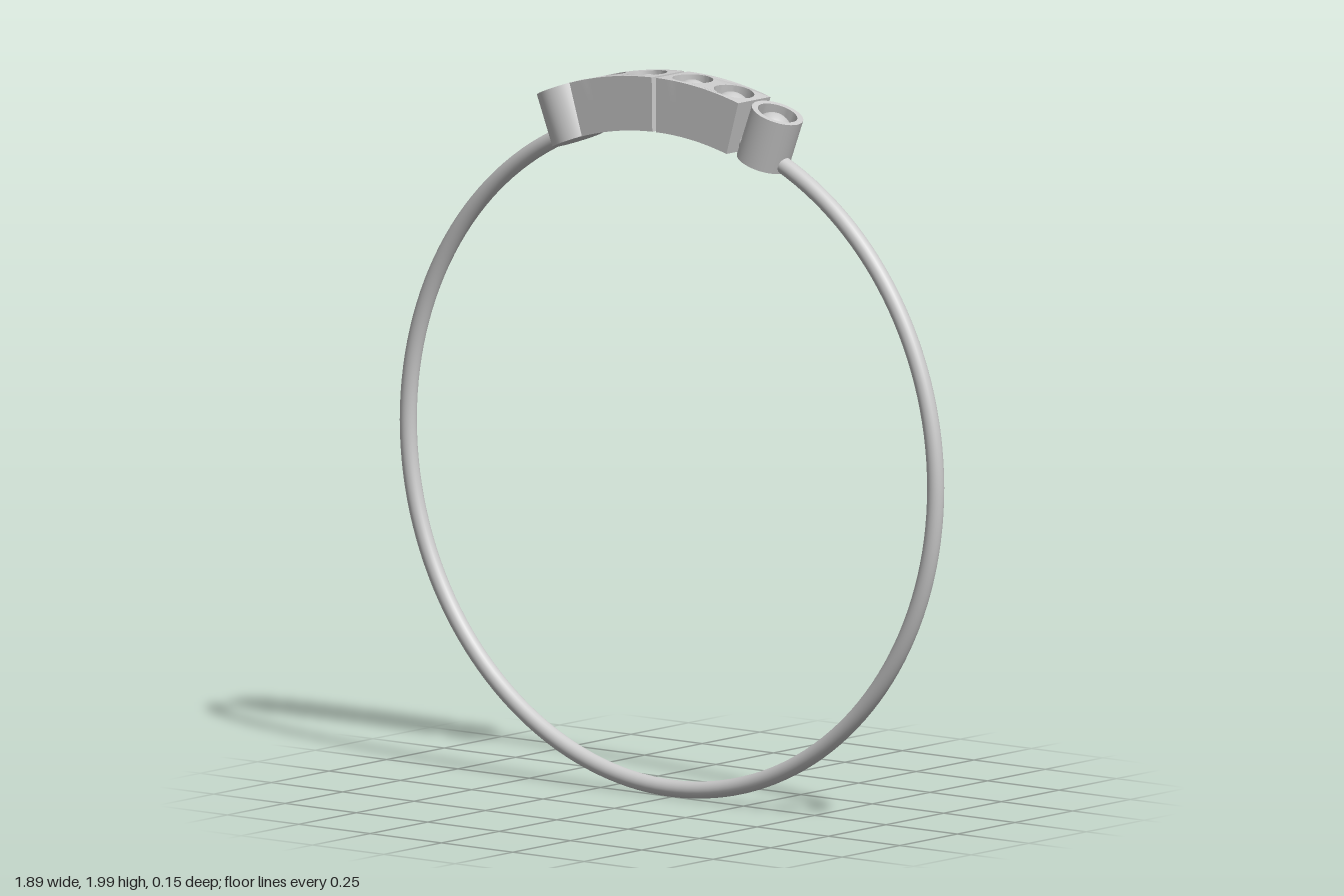
import * as THREE from 'three';
import { toCreasedNormals } from 'three/addons/utils/BufferGeometryUtils.js';

const HOOP_R = 0.924, TUBE_R = 0.0235;
const CENTER_Y = HOOP_R + TUBE_R + 0.005;
const INNER = 0.897, OUTER = 1.047, FLOOR = 0.988; // radii of the stone settings
const HALF_W = 0.07, STONE_R = 0.055;
const deg = THREE.MathUtils.degToRad;

export function createModel() {
  const material = new THREE.MeshStandardMaterial({ color: 0xcccccc });
  const model = new THREE.Group();
  model.name = 'ring';

  const add = (parent, name, geometry) => {
    const mesh = new THREE.Mesh(geometry, material);
    mesh.name = name;
    parent.add(mesh);
    return mesh;
  };

  // Thin round band
  add(model, 'band', new THREE.TorusGeometry(HOOP_R, TUBE_R, 24, 160)).position.y = CENTER_Y;

  // Settings sit along the top of the band, turned very slightly off centre
  const crown = new THREE.Group();
  crown.name = 'crown';
  crown.position.y = CENTER_Y;
  crown.rotation.z = deg(0.4);
  model.add(crown);

  // Domed stone, its top just below the rim of its seat
  const addStone = (angle) => {
    const dome = new THREE.SphereGeometry(STONE_R, 32, 12, 0, Math.PI * 2, 0, Math.PI / 2);
    const stone = add(crown, 'stone', dome);
    stone.position.set(Math.sin(angle) * FLOOR, Math.cos(angle) * FLOOR, 0);
    stone.rotation.z = -angle;
  };

  // Curved body below the seats
  const blockBody = (a0, a1) => {
    const shape = new THREE.Shape();
    shape.absarc(0, 0, FLOOR, Math.PI / 2 - a1, Math.PI / 2 - a0, false);
    shape.absarc(0, 0, INNER, Math.PI / 2 - a0, Math.PI / 2 - a1, true);
    const geo = new THREE.ExtrudeGeometry(shape, { depth: HALF_W * 2, bevelEnabled: false, curveSegments: 16 });
    return toCreasedNormals(geo.translate(0, 0, -HALF_W), 0.5);
  };

  // Pierced plate, extruded flat and then bent around the ring centre
  const seatPlate = (a0, a1, stoneAngles) => {
    const steps = 16, pts = [];
    for (let i = 0; i <= steps; i++) pts.push(new THREE.Vector2(OUTER * (a0 + (a1 - a0) * i / steps), -HALF_W));
    for (let i = steps; i >= 0; i--) pts.push(new THREE.Vector2(OUTER * (a0 + (a1 - a0) * i / steps), HALF_W));
    const shape = new THREE.Shape(pts);
    for (const a of stoneAngles) {
      shape.holes.push(new THREE.Path().absarc(a * OUTER, 0, STONE_R + 0.001, 0, Math.PI * 2, true));
    }
    const geo = new THREE.ExtrudeGeometry(shape, { depth: OUTER - FLOOR, bevelEnabled: false, curveSegments: 20 });
    const p = geo.attributes.position;
    for (let i = 0; i < p.count; i++) {
      const t = p.getX(i) / OUTER, r = FLOOR + p.getZ(i);
      p.setXYZ(i, r * Math.sin(t), r * Math.cos(t), -p.getY(i));
    }
    geo.computeVertexNormals();
    return toCreasedNormals(geo, 0.5);
  };

  // Round end cup with a sunken seat
  const cupProfile = [
    [0, INNER], [0.073, INNER], [0.073, OUTER], [STONE_R + 0.001, OUTER], [STONE_R + 0.001, FLOOR], [0, FLOOR],
  ].map(([x, y]) => new THREE.Vector2(x, y));
  const cup = toCreasedNormals(new THREE.LatheGeometry(cupProfile, 40), 0.5);

  for (const side of [-1, 1]) {
    // Two-stone curved block
    const ends = [side * deg(0.4), side * deg(16.4)].sort((a, b) => a - b);
    const stones = [side * deg(4.4), side * deg(12.4)];
    add(crown, 'blockBody', blockBody(...ends));
    add(crown, 'seatPlate', seatPlate(...ends, stones));
    stones.forEach(addStone);

    // End cup and its stone
    const angle = side * deg(21.1);
    add(crown, 'endCup', cup).rotation.z = -angle;
    addStone(angle);
  }
  return model;
}
